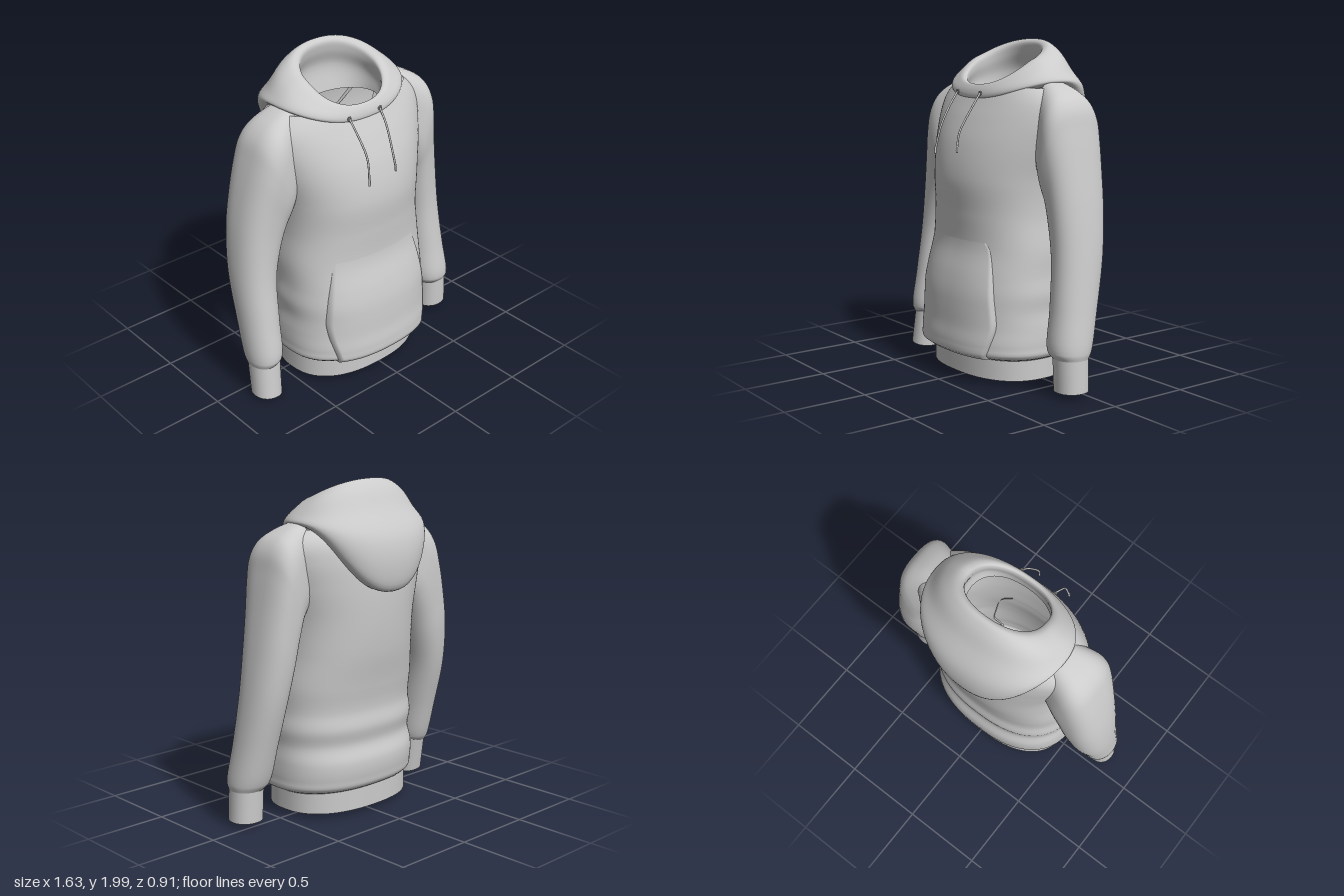
import * as THREE from 'three';

const cloth = new THREE.MeshStandardMaterial({ color: 0xcccccc, side: THREE.DoubleSide });
const V = (x, y, z) => new THREE.Vector3(x, y, z);
const { smoothstep, clamp } = THREE.MathUtils;

// n points around a closed ring, from a rule of the angle
const ring = (n, rule) => Array.from({ length: n }, (_, i) => rule(i / n * Math.PI * 2));

// Signed power, for squaring off an ellipse
const bend = (v, power) => Math.sign(v) * Math.abs(v) ** power;

// Skin rows of equally many points; closed rows wrap around
function skin(name, rows, closed = true) {
  const n = rows[0].length, idx = [];
  for (let i = 0; i < rows.length - 1; i++) {
    for (let j = 0; j < (closed ? n : n - 1); j++) {
      const a = i * n + j, b = i * n + (j + 1) % n;
      idx.push(a, a + n, b, b, a + n, b + n);
    }
  }
  const geometry = new THREE.BufferGeometry().setFromPoints(rows.flat());
  geometry.setIndex(idx);
  geometry.computeVertexNormals();
  const mesh = new THREE.Mesh(geometry, cloth);
  mesh.name = name;
  return mesh;
}

// Add smooth in-between rows through the key rows
function refine(keys, steps) {
  const columns = keys[0].map((_, j) => new THREE.CatmullRomCurve3(keys.map(r => r[j])));
  const total = (keys.length - 1) * steps;
  return Array.from({ length: total + 1 }, (_, i) => columns.map(c => c.getPoint(i / total)));
}

// Smooth lookup in a table whose first column is the height
function table(rows) {
  const f = new THREE.CubicInterpolant(rows.map(r => r[0]), rows.flatMap(r => r.slice(1)), rows[0].length - 1);
  return y => Array.from(f.evaluate(y));
}

// Torso sections: height, half width, front z, back z
const torsoAt = table([
  [0.165, 0.45, 0.375, -0.262],
  [0.185, 0.485, 0.415, -0.295],
  [0.24, 0.494, 0.425, -0.312],
  [0.35, 0.492, 0.415, -0.318],
  [0.45, 0.483, 0.41, -0.292],
  [0.55, 0.49, 0.402, -0.305],
  [0.65, 0.481, 0.39, -0.292],
  [0.8, 0.48, 0.368, -0.308],
  [1.0, 0.461, 0.372, -0.34],
  [1.2, 0.47, 0.38, -0.355],
  [1.4, 0.515, 0.342, -0.355],
  [1.55, 0.545, 0.285, -0.342],
  [1.64, 0.54, 0.243, -0.322],
  [1.69, 0.505, 0.22, -0.3],
  [1.73, 0.45, 0.203, -0.265],
]);
const torsoX = -0.01;
const squareness = y => 2.4 - 0.25 * smoothstep(y, 0.5, 1.5);

function torsoRing(y) {
  const [w, zf, zb] = torsoAt(y), power = 2 / squareness(y);
  return ring(80, a => V(torsoX + w * bend(Math.cos(a), power), y,
    (zf + zb) / 2 + (zf - zb) / 2 * bend(Math.sin(a), power)));
}

function torsoFront(x, y) {
  const [w, zf, zb] = torsoAt(y), e = squareness(y);
  const u = Math.min(1, Math.abs((x - torsoX) / w));
  return (zf + zb) / 2 + (zf - zb) / 2 * (1 - u ** e) ** (1 / e);
}

// Body with its hem curling in to the waistband
function torso() {
  const rows = Array.from({ length: 109 }, (_, i) => torsoRing(0.165 + 1.565 * i / 108));
  const tucked = rows[0].map(p => V(p.x * 0.97, 0.185, p.z * 0.97));
  return skin('torso', [tucked, ...rows]);
}

function waistband() {
  const hem = torsoRing(0.165);
  return skin('waistband', [0.04, 0.12, 0.2].map(y => hem.map(p => V(p.x - 0.01, y, p.z - 0.01))));
}

// Front pocket: a raised panel that follows the torso and melts into it at the top
function pocket() {
  const bounds = table([ // height, right edge, left edge
    [0.175, -0.345, 0.295], [0.36, -0.39, 0.345], [0.46, -0.4, 0.338],
    [0.76, -0.352, 0.287], [0.82, -0.335, 0.265], [0.89, -0.27, 0.2],
  ]);
  const rows = Array.from({ length: 37 }, (_, i) => {
    const y = 0.175 + 0.715 * i / 36, [x0, x1] = bounds(y);
    const thickness = 0.033 * (1 - smoothstep(y, 0.5, 0.92)) - 0.003;
    return Array.from({ length: 43 }, (_, j) => {
      const x = x1 + (x0 - x1) * clamp((j - 1) / 40, 0, 1);
      const edge = j === 0 || j === 42;
      return V(x, y, torsoFront(x, y) + (edge ? -0.01 : thickness));
    });
  });
  return skin('frontPocket', rows, false);
}

// Sleeve ring between an inner and an outer point, with front and back z;
// the steep rings at the shoulder are squarer
const armRing = ([xi, yi, xo, yo, zf, zb]) => ring(48, a => {
  const power = 2 / (2.15 + 1.6 * Math.abs(yo - yi));
  const c = bend(Math.cos(a), power) / 2, s = bend(Math.sin(a), power) / 2;
  return V((xi + xo) / 2 + (xo - xi) * c, (yi + yo) / 2 + (yo - yi) * c, (zf + zb) / 2 + (zf - zb) * s);
});

const sleeveKeys = [
  [0.37, 1.3, 0.4, 1.768, 0.08, -0.17],
  [0.4, 1.25, 0.5, 1.732, 0.125, -0.2],
  [0.44, 1.2, 0.578, 1.683, 0.155, -0.22],
  [0.455, 1.16, 0.622, 1.615, 0.162, -0.225],
  [0.465, 1.12, 0.647, 1.5, 0.158, -0.225],
  [0.475, 1.06, 0.682, 1.3, 0.142, -0.22],
  [0.49, 0.95, 0.718, 1.08, 0.132, -0.21],
  [0.515, 0.77, 0.755, 0.8, 0.132, -0.18],
  [0.54, 0.5, 0.785, 0.5, 0.16, -0.115],
  [0.56, 0.27, 0.806, 0.27, 0.188, -0.055],
  [0.59, 0.232, 0.799, 0.232, 0.168, -0.03],
];

// The right arm bows outward and forward a little more than the left
const bowed = ([xi, yi, xo, yo, zf, zb]) => {
  const bow = 0.065 * Math.sin(Math.PI * clamp((1.7 - yo) / 1.45, 0, 1) ** 0.8) + 0.006;
  const forward = 0.02 * (1 - smoothstep(yo, 0.3, 1.1));
  return [-xi - 0.05 * (1 - smoothstep(yi, 0.75, 1.2)), yi, -xo - bow, yo, zf + forward, zb + forward];
};

function arm(name, keys, cuffKeys, downward) {
  const order = rows => downward ? rows.reverse() : rows;
  const group = new THREE.Group();
  group.name = name;
  group.add(skin('sleeve', order(refine(keys.map(armRing), 6))),
    skin('cuff', order(refine(cuffKeys.map(armRing), 4))));
  return group;
}

// Hood rings from inside the neck, over the rim, down to the lower edge:
// half width, side y and z, front y and z, back y and z, curl (1 is a flat ring)
const hoodKeys = [
  [0.25, 1.67, 0, 1.62, 0.192, 1.66, -0.2, 1],
  [0.26, 1.75, 0, 1.67, 0.192, 1.82, -0.225, 1],
  [0.245, 1.83, 0, 1.715, 0.188, 1.92, -0.195, 1],
  [0.25, 1.875, 0, 1.737, 0.195, 1.98, -0.19, 1],
  [0.29, 1.892, -0.01, 1.74, 0.21, 2.0, -0.22, 1],
  [0.365, 1.86, -0.035, 1.718, 0.226, 1.955, -0.27, 1.1],
  [0.425, 1.8, -0.055, 1.692, 0.235, 1.84, -0.335, 1.6],
  [0.445, 1.768, -0.075, 1.675, 0.237, 1.67, -0.43, 2],
  [0.437, 1.755, -0.085, 1.663, 0.235, 1.49, -0.45, 2],
  [0.42, 1.745, -0.09, 1.657, 0.225, 1.37, -0.42, 2],
  [0.39, 1.735, -0.08, 1.657, 0.2, 1.365, -0.34, 2],
];

const hoodRing = ([w, ys, zs, yf, zf, yb, zb, curl]) => ring(72, a => {
  const c = Math.cos(a), front = c > 0, reach = Math.abs(c) ** 0.88;
  return V(w * bend(Math.sin(a), 0.88) - 0.02, ys + ((front ? yf : yb) - ys) * Math.abs(c) ** curl,
    zs + ((front ? zf : zb) - zs) * reach);
});

// Drawstring hanging from a small eyelet, ending in a firm tip
function drawstring(name, pts) {
  const curve = new THREE.CatmullRomCurve3(pts.map(p => V(...p)));
  const part = (partName, geometry, t) => {
    const mesh = new THREE.Mesh(geometry, cloth);
    mesh.name = partName;
    if (t !== undefined) curve.getPoint(t, mesh.position);
    return mesh;
  };
  const group = new THREE.Group();
  group.name = name;
  group.add(part('cord', new THREE.TubeGeometry(curve, 32, 0.006, 8)),
    part('eyelet', new THREE.TorusGeometry(0.01, 0.004, 8, 16), 0),
    part('cordTip', new THREE.CapsuleGeometry(0.007, 0.03, 4, 8), 0.97));
  return group;
}

export function createModel() {
  const model = new THREE.Group();
  model.name = 'hoodedSweatshirt';
  model.add(torso(), waistband(), pocket(), skin('hood', refine(hoodKeys.map(hoodRing), 5)));
  model.add(arm('leftArm', sleeveKeys,
    [[0.597, 0.25, 0.797, 0.25, 0.168, -0.03], [0.605, 0.04, 0.805, 0.045, 0.165, -0.025]], true));
  model.add(arm('rightArm', sleeveKeys.map(bowed),
    [[-0.618, 0.25, -0.802, 0.25, 0.186, -0.012], [-0.632, 0.012, -0.81, 0.03, 0.21, 0.028]], false));
  model.add(drawstring('rightDrawstring',
    [[-0.165, 1.692, 0.238], [-0.158, 1.61, 0.3], [-0.149, 1.49, 0.37], [-0.161, 1.34, 0.405]]));
  model.add(drawstring('leftDrawstring',
    [[0.065, 1.692, 0.238], [0.062, 1.61, 0.295], [0.045, 1.47, 0.37], [0.052, 1.365, 0.395]]));
  return model;
}
